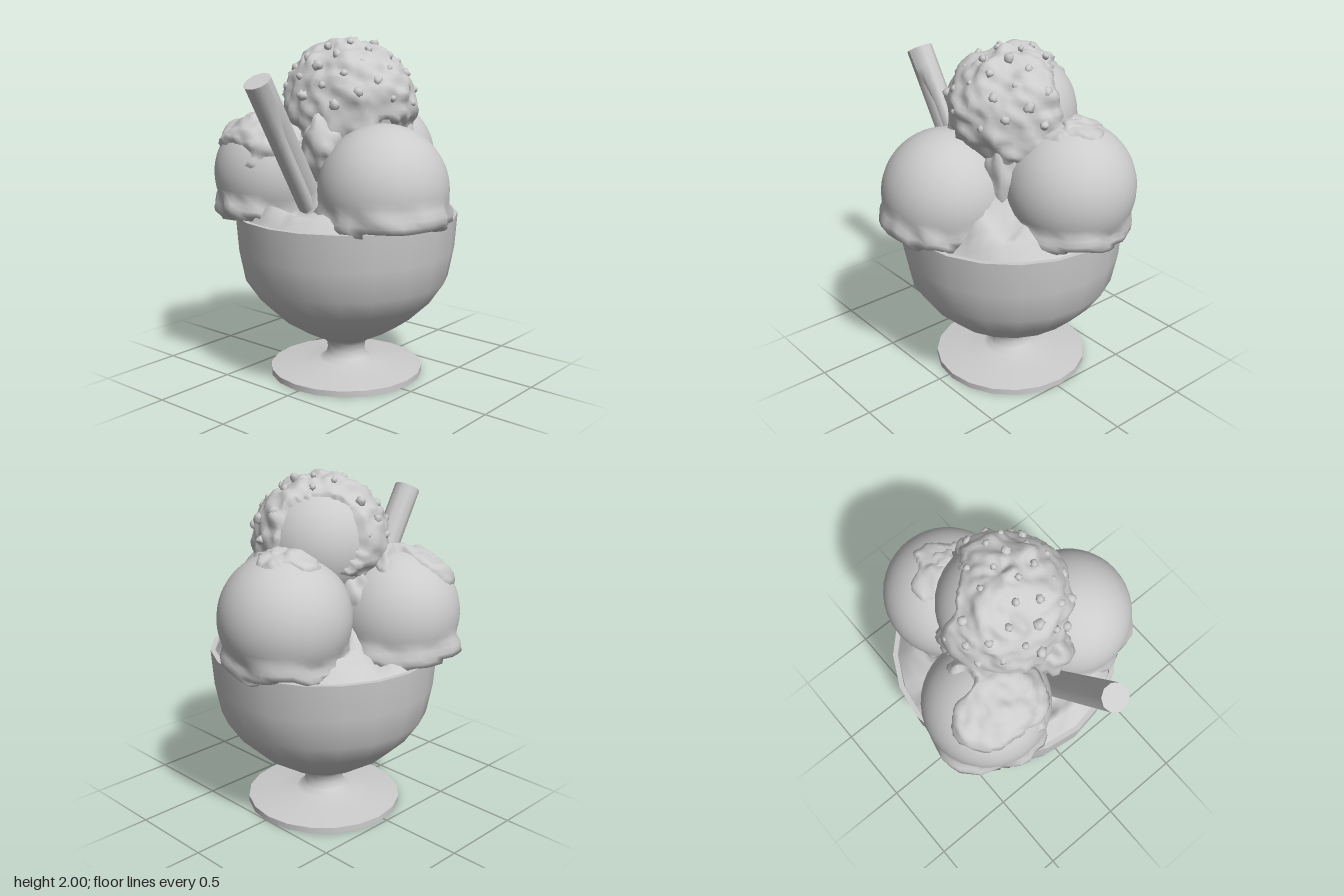
import * as THREE from 'three';
import { mergeVertices } from 'three/addons/utils/BufferGeometryUtils.js';

const BOWL = new THREE.Vector3(0.045, 0, -0.022);
const smooth = THREE.MathUtils.smoothstep;
const lerp = THREE.MathUtils.lerp;

// Seeded value noise in 0..1
function hash(x, y, z) {
  const s = Math.sin(x * 127.1 + y * 311.7 + z * 74.7) * 43758.5453;
  return s - Math.floor(s);
}
function noise(p, f) {
  const c = [p.x * f, p.y * f, p.z * f];
  const i = c.map(Math.floor);
  const u = c.map((v, k) => { const t = v - i[k]; return t * t * (3 - 2 * t); });
  const edge = (y, z) => lerp(hash(i[0], y, z), hash(i[0] + 1, y, z), u[0]);
  const face = (z) => lerp(edge(i[1], z), edge(i[1] + 1, z), u[1]);
  return lerp(face(i[2]), face(i[2] + 1), u[2]);
}

// Moves every vertex by a rule, then welds and smooths
function deform(geometry, rule) {
  geometry.deleteAttribute('uv');
  geometry.deleteAttribute('normal');
  const pos = geometry.attributes.position;
  const v = new THREE.Vector3();
  for (let i = 0; i < pos.count; i++) {
    v.fromBufferAttribute(pos, i);
    rule(v);
    pos.setXYZ(i, v.x, v.y, v.z);
  }
  const g = mergeVertices(geometry, 1e-4);
  g.computeVertexNormals();
  return g;
}

export function createModel() {
  const group = new THREE.Group();
  const material = new THREE.MeshStandardMaterial({ color: 0xcccccc, side: THREE.DoubleSide });
  const add = (name, geometry, position) => {
    const mesh = new THREE.Mesh(geometry, material);
    mesh.name = name;
    if (position) mesh.position.copy(position);
    group.add(mesh);
    return mesh;
  };
  const lathe = (points) => new THREE.LatheGeometry(points.map((p) => new THREE.Vector2(...p)), 20);

  // Footed glass bowl: separate lathes keep the foot's rim sharp
  add('footUnderside', lathe([[0, 0], [0.458, 0]]), BOWL);
  add('footRim', lathe([[0.458, 0], [0.458, 0.035]]), BOWL);
  add('stem', lathe([[0.458, 0.035], [0.3, 0.058], [0.165, 0.075], [0.125, 0.1],
    [0.112, 0.14], [0.116, 0.18], [0.14, 0.21], [0.2, 0.24]]), BOWL);
  add('bowl', lathe([[0.1, 0.19], [0.14, 0.21], [0.27, 0.275], [0.4, 0.36], [0.52, 0.475],
    [0.605, 0.6], [0.64, 0.78], [0.656, 0.988]]), BOWL);
  add('bowlRim', lathe([[0.656, 0.988], [0.628, 0.988]]), BOWL);
  add('bowlInside', lathe([[0.628, 0.988], [0.61, 0.8], [0.57, 0.62], [0.3, 0.35], [0, 0.3]]), BOWL);

  // Lumpy melted filling heaped between the scoops
  const filling = new THREE.RingGeometry(0.001, 0.625, 56, 16).rotateX(-Math.PI / 2);
  add('filling', deform(filling, (v) => {
    const r = Math.hypot(v.x, v.z) / 0.625;
    const front = smooth(v.x + v.z, -0.4, 0.5);
    const heap = (0.25 + 0.2 * front) * (1 - r * r);
    const lump = (noise(v, 9) - 0.4) * 0.16 + (noise(v, 19) - 0.5) * 0.09;
    v.y = 0.95 + heap + lump * (1 - 0.7 * smooth(r, 0.85, 1));
  }), BOWL);

  // Scoop: a ball whose lower part spreads into a ragged skirt
  function scoop(name, x, y, z, R, skirtY, skirtR) {
    const c = new THREE.Vector3(x, y, z);
    const drop = skirtY - y;
    add(name, deform(new THREE.SphereGeometry(R, 40, 32), (v) => {
      const w = v.clone().add(c);
      const a = Math.atan2(v.z, v.x);
      const ragged = noise({ x: Math.cos(a) * 3 + x * 7, y: 2, z: Math.sin(a) * 3 + z * 7 }, 1.5);
      const lip = drop + 0.07 * (ragged - 0.5);
      const h = Math.hypot(v.x, v.z);
      if (h > 1e-5) {
        const near = Math.max(0, 1 - Math.abs(v.y - lip) / 0.085);
        const target = skirtR + 0.05 * (ragged - 0.5) + 0.03 * (noise(w, 14) - 0.5);
        let nh = lerp(h, Math.max(h, target), smooth(near, 0, 0.7));
        if (v.y < lip - 0.05) nh = Math.min(nh, lerp(0.215, 0.15, smooth(lip - v.y, 0.05, 0.2)));
        v.x *= nh / h;
        v.z *= nh / h;
      }
    }), c);
    return c;
  }
  scoop('frontScoop', -0.08, 1.175, 0.35, 0.367, 1.02, 0.37);
  const side = scoop('leftScoop', 0.432, 1.26, -0.115, 0.368, 1.03, 0.34);
  const back = scoop('backScoop', -0.2, 1.215, -0.355, 0.362, 1.02, 0.36);
  const top = new THREE.Vector3(0.07, 1.61, -0.02);
  add('topScoop', new THREE.SphereGeometry(0.35, 32, 24), top);

  // Sauce: a skin over a ball, sinking below it past an uneven edge.
  // axis is the middle of the patch, spread gives its angle at each direction.
  function sauce(name, c, R, thick, axis, spread, rough) {
    const n = new THREE.Vector3(...axis).normalize();
    add(name, deform(new THREE.SphereGeometry(R, 72, 52), (v) => {
      const d = v.clone().normalize();
      const w = v.clone().add(c);
      const cover = spread(d) + (noise(w, 7) - 0.5) * 0.9 - d.angleTo(n);
      const skin = thick + rough * ((noise(w, 10) - 0.5) * 0.05 + (noise(w, 22) - 0.5) * 0.045);
      v.setLength(R + lerp(-0.03, Math.max(skin, 0.006), smooth(cover, -0.07, 0.07)));
    }), c);
  }
  const bare = new THREE.Vector3(0.65, 0.35, -0.65).normalize();
  sauce('topSauce', top, 0.35, 0.026, [0, 1, 0],
    (d) => 2.1 - 2.2 * smooth(d.dot(bare), 0.72, 0.9), 1);
  sauce('backScoopSauce', back, 0.362, 0.022, [-0.35, 0.85, 0.1], () => 0.72, 0.9);
  sauce('leftScoopSauce', side, 0.368, 0.016, [-0.1, 0.95, 0.0], () => 0.5, 0.7);

  // Nut crumbs stuck on the top scoop
  for (let i = 0; i < 46; i++) {
    const y = 1 - 0.95 * (i + 0.5) / 46;
    const a = i * 2.39996;
    const s = Math.sqrt(1 - y * y);
    const d = new THREE.Vector3(s * Math.cos(a), y, s * Math.sin(a));
    if (d.dot(bare) > 0.75) continue;
    const size = 0.016 + 0.014 * hash(i, 3, 5);
    const crumb = add('nutCrumb', deform(new THREE.IcosahedronGeometry(size, 1), (v) => {
      v.multiplyScalar(0.75 + 0.5 * hash(Math.round(v.x * 500), Math.round(v.y * 500), i));
    }), d.clone().multiplyScalar(0.375).add(top));
    crumb.rotation.set(i, i * 2, 0);
  }

  // Thick drips running down into the gaps between the scoops
  [
    [0.23, 1.33, 0.19, 0.11, 0.24], [-0.24, 1.4, 0.06, 0.12, 0.2],
    [0.08, 1.3, -0.3, 0.1, 0.2], [0.44, 1.59, -0.1, 0.085, 0.055],
  ].forEach(([x, y, z, r, h]) => {
    const c = new THREE.Vector3(x, y, z);
    add('sauceDrip', deform(new THREE.SphereGeometry(1, 24, 20), (v) => {
      const k = 0.8 + 0.45 * noise(v, 2.7 + r);
      v.set(v.x * r * k, v.y * h * k, v.z * r * k);
    }), c);
  });

  // Rolled wafer with a seam that deepens towards its lower end
  const tip = new THREE.Vector3(-0.737, 1.795, 0.04);
  const foot = new THREE.Vector3(-0.27, 1.01, 0.02);
  const length = tip.distanceTo(foot);
  const roll = new THREE.CylinderGeometry(0.077, 0.077, length, 10, 8, true);
  const rollPos = roll.attributes.position;
  for (let i = 0; i < rollPos.count; i++) {
    const x = rollPos.getX(i), y = rollPos.getY(i), z = rollPos.getZ(i);
    if (z > 0.07) {
      const depth = 1 - 0.6 * smooth(length / 2 - y, 0.08, 0.35);
      rollPos.setXYZ(i, x * depth, y, z * depth);
    }
  }
  roll.computeVertexNormals();
  const wafer = add('waferRoll', roll, tip.clone().add(foot).multiplyScalar(0.5));
  wafer.quaternion.setFromUnitVectors(new THREE.Vector3(0, 1, 0), tip.clone().sub(foot).normalize());
  const end = new THREE.Mesh(new THREE.CircleGeometry(0.077, 10, Math.PI / 2), material);
  end.name = 'waferEnd';
  end.rotation.x = -Math.PI / 2;
  end.position.y = length / 2;
  wafer.add(end);

  return group;
}
